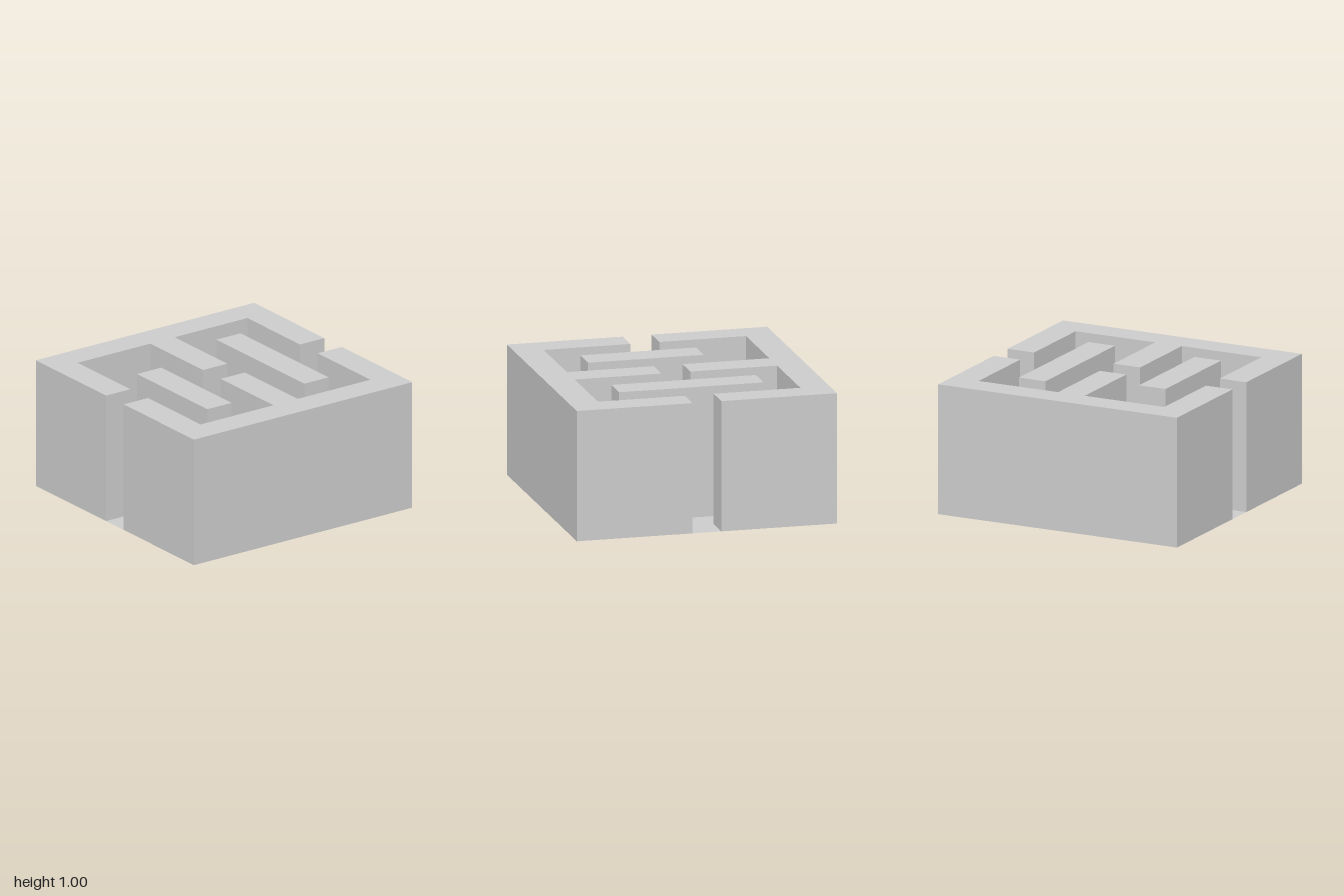
import * as THREE from 'three';

const U = 1 / 9; // half a maze cell
const HEIGHT = 1;

// Plan outlines are in half cells: x to the left side, y to the back.
const points = (list) => list.map(([x, y]) => new THREE.Vector2(x * U, y * U));
const rect = (x0, y0, x1, y1) => [[x0, y0], [x1, y0], [x1, y1], [x0, y1]];

// Extrudes a plan upwards and drops the lower lid, as the walls are open below.
function wallGeometry(outline) {
  const solid = new THREE.ExtrudeGeometry(new THREE.Shape(points(outline)), { depth: HEIGHT, bevelEnabled: false });
  solid.rotateX(-Math.PI / 2);
  const pos = solid.attributes.position;
  const kept = [];
  for (let i = 0; i < pos.count; i += 3) {
    const corners = [i, i + 1, i + 2];
    if (corners.every((c) => pos.getY(c) < 0.001)) continue;
    for (const c of corners) kept.push(pos.getX(c), pos.getY(c), pos.getZ(c));
  }
  const geometry = new THREE.BufferGeometry();
  geometry.setAttribute('position', new THREE.Float32BufferAttribute(kept, 3));
  geometry.computeVertexNormals();
  return geometry;
}

export function createModel() {
  const group = new THREE.Group();
  const material = new THREE.MeshStandardMaterial({ color: 0xcccccc, flatShading: true, side: THREE.DoubleSide });
  const add = (name, geometry) => {
    const mesh = new THREE.Mesh(geometry, material);
    mesh.name = name;
    group.add(mesh);
    return mesh;
  };

  // Three-pronged outer wall, once for each half of the maze
  const outer = wallGeometry([
    [-9, 1], [-7, 1], [-7, 7], [-1, 7], [-1, 1], [1, 1],
    [1, 7], [7, 7], [7, 1], [9, 1], [9, 9], [-9, 9],
  ]);
  add('backOuterWall', outer);
  add('frontOuterWall', outer).rotation.y = Math.PI;

  // Free-standing walls inside the passages
  const shortIsland = rect(-5, -5, -3, 3);
  const longIsland = rect(3, -5, 5, 5);
  add('rightIslandWall', wallGeometry(shortIsland));
  add('leftIslandWall', wallGeometry(longIsland));

  // Passage floor, running out through both side openings
  const backEdge = [[9, 1], [7, 1], [7, 7], [1, 7], [1, 1], [-1, 1], [-1, 7], [-7, 7], [-7, 1], [-9, 1]];
  const frontEdge = backEdge.map(([x, y]) => [-x, -y]);
  const floor = new THREE.Shape(points([...backEdge, ...frontEdge]));
  for (const island of [shortIsland, longIsland]) floor.holes.push(new THREE.Path(points(island)));
  add('passageFloor', new THREE.ShapeGeometry(floor).rotateX(-Math.PI / 2));

  return group;
}
